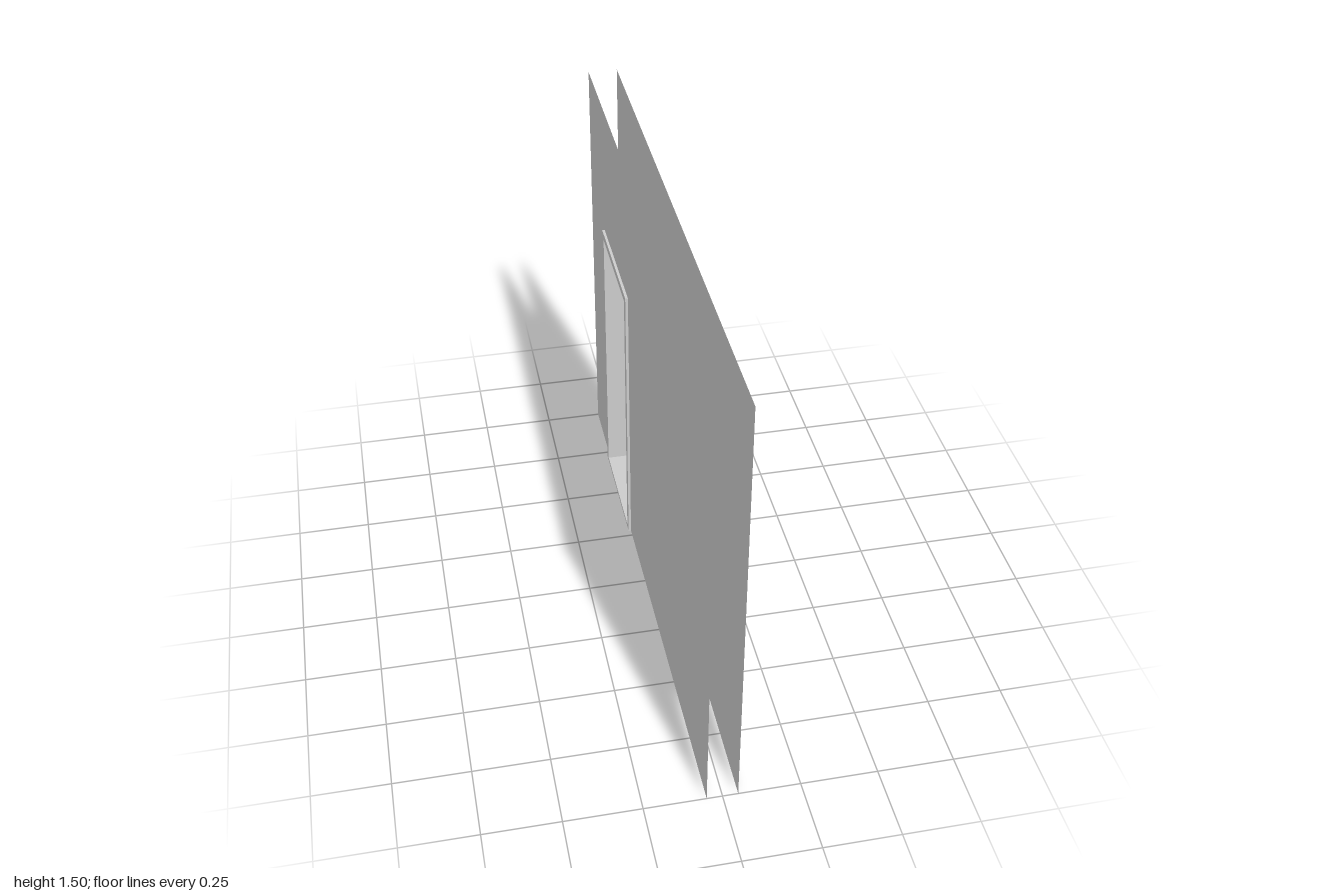
import * as THREE from 'three';

export function createModel() {
  const model = new THREE.Group();
  const mat = new THREE.MeshStandardMaterial({ color: 0xcccccc, side: THREE.DoubleSide });

  // Doorway dimensions (z range of the frame, thickness, depth)
  const zNear = -0.275, zFar = -0.725, top = 1.023;
  const trim = 0.025, depth = 0.118, sillHeight = 0.012;
  const zMid = (zNear + zFar) / 2, width = zNear - zFar;

  // Wall sheets: zero thickness, notched around the doorway
  const outline = new THREE.Shape([
    [-1, 0], [zFar, 0], [zFar, top], [zNear, top], [zNear, 0], [1, 0], [1, 1.5], [-1, 1.5],
  ].map(([z, y]) => new THREE.Vector2(-z, y)));
  const sheet = new THREE.ShapeGeometry(outline).rotateY(Math.PI / 2);
  for (const side of [-1, 1]) {
    const wall = new THREE.Mesh(sheet, mat);
    wall.name = side > 0 ? 'leftWallSheet' : 'rightWallSheet';
    wall.position.x = side * 0.05;
    model.add(wall);
  }

  // Door frame, standing slightly proud of both sheets
  const frame = new THREE.Group();
  frame.name = 'doorFrame';
  const addBar = (name, h, len, y, z) => {
    const bar = new THREE.Mesh(new THREE.BoxGeometry(depth, h, len), mat);
    bar.name = name;
    bar.position.set(0, y, z);
    frame.add(bar);
  };
  addBar('frontJamb', top - trim, trim, (top - trim) / 2, zNear - trim / 2);
  addBar('backJamb', top - trim, trim, (top - trim) / 2, zFar + trim / 2);
  addBar('lintel', trim, width, top - trim / 2, zMid);
  addBar('sill', sillHeight, width - 2 * trim, sillHeight / 2, zMid);
  model.add(frame);

  return model;
}
